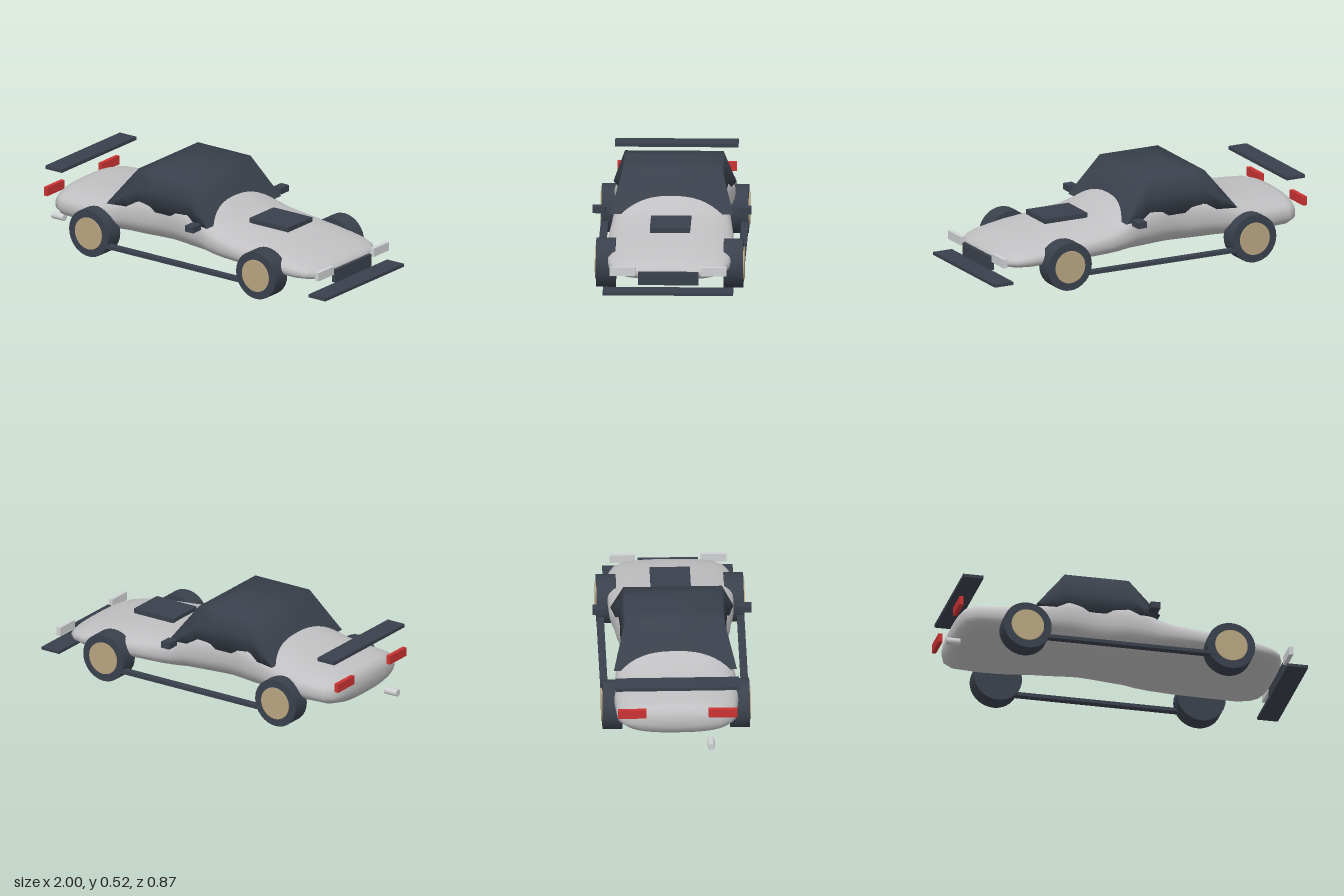
import * as THREE from 'three';

const paint = (name, color) => {
  const m = new THREE.MeshStandardMaterial({ color });
  m.name = name;
  return m;
};

// Skin a list of closed rings (each ring an array of [x, y, z]) with smooth normals
function loft(rings) {
  const n = rings[0].length, index = [];
  for (let i = 0; i < rings.length - 1; i++) {
    for (let j = 0; j < n; j++) {
      const k = (j + 1) % n, a = i * n + j, b = a + n, c = i * n + k, d = c + n;
      index.push(a, b, c, b, d, c);
    }
  }
  const g = new THREE.BufferGeometry();
  g.setAttribute('position', new THREE.Float32BufferAttribute(rings.flat(2), 3));
  g.setIndex(index);
  g.computeVertexNormals();
  return g;
}

export function createModel() {
  const silver = paint('silver paint', 0xc0c0c2);
  const dark = paint('dark trim', 0x3a414c);
  const gold = paint('tan hub', 0xb8a580);
  const lamp = paint('clear lamp', 0xcfd1d2);
  const red = paint('red lamp', 0xcc3333);
  const car = new THREE.Group();
  car.name = 'car';

  const add = (name, geometry, material, x = 0, y = 0, z = 0) => {
    const mesh = new THREE.Mesh(geometry, material);
    mesh.name = name;
    mesh.position.set(x, y, z);
    car.add(mesh);
    return mesh;
  };
  // Box given by its extents on each axis
  const box = (name, material, [x0, x1], [y0, y1], [z0, z1]) =>
    add(name, new THREE.BoxGeometry(x1 - x0, y1 - y0, z1 - z0), material,
      (x0 + x1) / 2, (y0 + y1) / 2, (z0 + z1) / 2);

  // Body: superellipse sections along x as [x, top, bottom, half width]
  const sections = [
    [-0.932, 0.215, 0.215, 0], [-0.931, 0.245, 0.185, 0.15], [-0.922, 0.272, 0.16, 0.24],
    [-0.9, 0.296, 0.133, 0.295], [-0.85, 0.31, 0.118, 0.327], [-0.7, 0.32, 0.113, 0.34],
    [-0.58, 0.34, 0.111, 0.337], [-0.5, 0.368, 0.109, 0.33], [-0.43, 0.4, 0.108, 0.32],
    [-0.33, 0.43, 0.106, 0.315], [-0.25, 0.438, 0.105, 0.298], [-0.17, 0.44, 0.105, 0.287],
    [-0.09, 0.438, 0.105, 0.298], [0, 0.43, 0.105, 0.315], [0.1, 0.397, 0.105, 0.323],
    [0.17, 0.345, 0.104, 0.332], [0.25, 0.315, 0.104, 0.34], [0.4, 0.289, 0.104, 0.345],
    [0.6, 0.264, 0.105, 0.343], [0.75, 0.235, 0.108, 0.332], [0.82, 0.217, 0.114, 0.308],
    [0.86, 0.202, 0.122, 0.27], [0.882, 0.186, 0.134, 0.21], [0.89, 0.172, 0.148, 0.13],
    [0.892, 0.16, 0.16, 0],
  ];
  const power = (v) => Math.sign(v) * Math.abs(v) ** 0.8;
  add('body', loft(sections.map(([x, top, bottom, w]) =>
    Array.from({ length: 48 }, (_, j) => {
      const a = (j / 48) * Math.PI * 2;
      return [x, (top + bottom) / 2 + power(Math.sin(a)) * (top - bottom) / 2, power(Math.cos(a)) * w];
    }))), silver);

  // Cabin: trapezoid sections, pinched at the middle, sloping to both ends
  const base = 0.305, roof = 0.525;
  const cabin = [-0.52, -0.435, -0.35, -0.26, -0.17, -0.08, 0.01, 0.09, 0.17].map((x) => {
    const u = (x + 0.175) / 0.345;
    const slope = x < -0.35 ? (-0.35 - x) / 0.17 : x > 0.01 ? (x - 0.01) / 0.16 : 0;
    const top = roof + (base - roof) * slope;
    const wb = 0.29 + 0.047 * u * u, wt = 0.27 + 0.067 * slope;
    const my = (base + top) / 2, mz = (wb + wt) / 2;
    return [[x, base, wb], [x, my, mz], [x, top, wt], [x, top, 0],
      [x, top, -wt], [x, my, -mz], [x, base, -wb], [x, base, 0]];
  });
  add('cabin', loft(cabin), dark);

  // Wheels with hub discs on the outer faces
  for (const side of [1, -1]) {
    for (const x of [-0.59, 0.555]) {
      const tyre = add('wheel', new THREE.CylinderGeometry(0.135, 0.135, 0.107, 32), dark, x, 0.135, side * 0.349);
      const hub = add('hub', new THREE.CylinderGeometry(0.091, 0.091, 0.02, 32), gold, x, 0.135, side * 0.399);
      tyre.rotation.x = hub.rotation.x = Math.PI / 2;
    }
    // Mirrored fittings
    const pair = (name, material, xs, ys, [a, b]) =>
      box(name, material, xs, ys, side > 0 ? [a, b] : [-b, -a]);
    pair('sideSkirt', dark, [-0.5, 0.47], [0.072, 0.092], [0.364, 0.405]);
    pair('mirror', dark, [0.095, 0.15], [0.302, 0.337], [0.362, 0.435]);
    pair('headlight', lamp, [0.9, 0.924], [0.157, 0.205], [0.18, 0.32]);
    pair('tailLight', red, [-0.955, -0.932], [0.255, 0.305], [0.17, 0.327]);
  }

  // Centre fittings
  box('hoodScoop', dark, [0.29, 0.555], [0.303, 0.33], [-0.11, 0.11]);
  box('grille', dark, [0.9, 0.92], [0.105, 0.177], [-0.165, 0.165]);
  box('frontSplitter', dark, [0.882, 0.998], [0.067, 0.084], [-0.357, 0.357]);
  box('rearSpoiler', dark, [-0.937, -0.824], [0.417, 0.436], [-0.338, 0.338]);

  // Exhaust pipe
  add('exhaust', new THREE.CylinderGeometry(0.02, 0.02, 0.08, 24), lamp, -0.96, 0.094, 0.183)
    .rotation.z = Math.PI / 2;

  return car;
}
